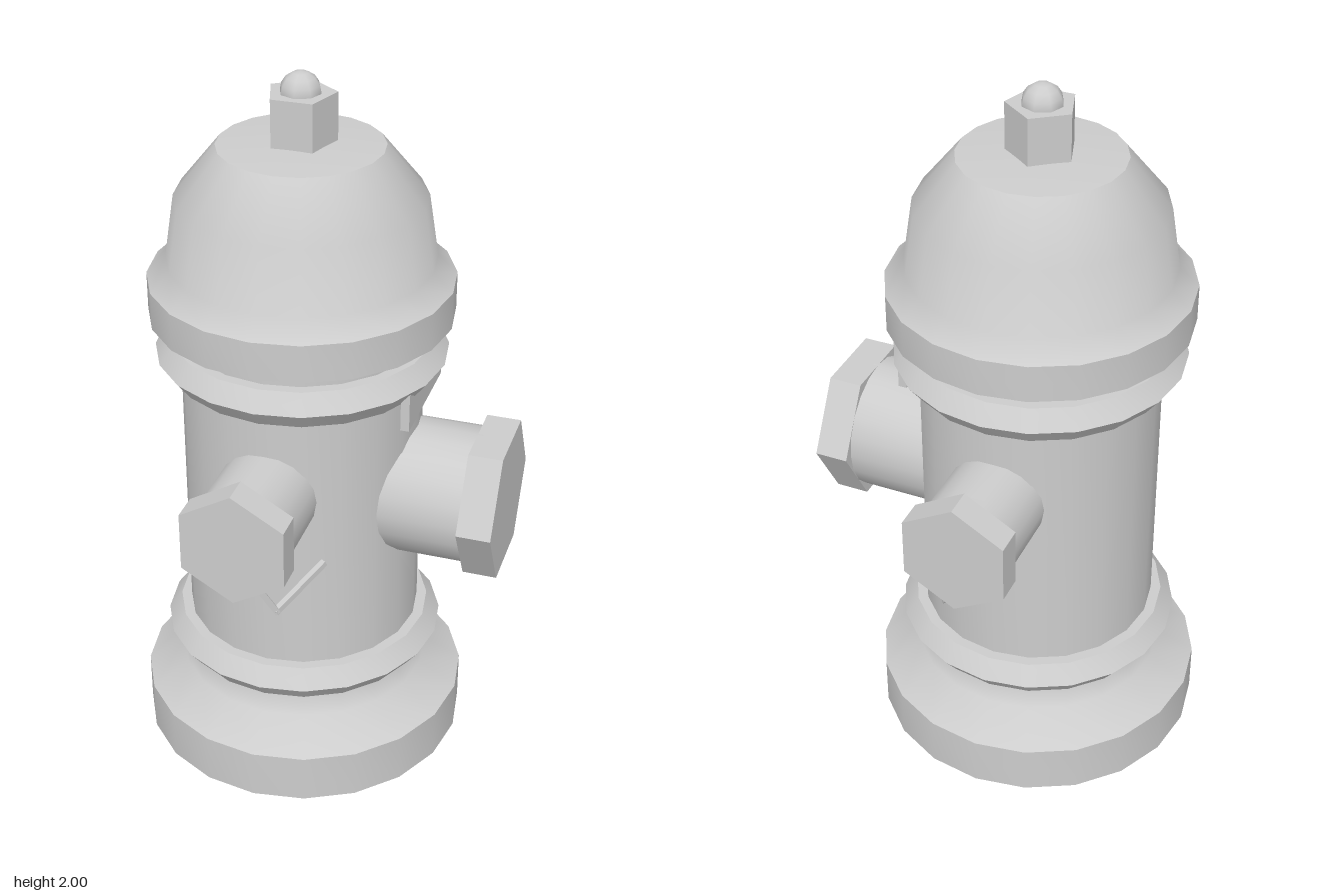
import * as THREE from 'three';
import { toCreasedNormals } from 'three/addons/utils/BufferGeometryUtils.js';

const AXIS = -0.065; // x of the barrel's centre line
const SIDES = 20;

export function createModel() {
  const model = new THREE.Group();
  model.name = 'fireHydrant';
  const grey = new THREE.MeshStandardMaterial({ color: 0xcccccc });
  grey.name = 'castGrey';

  function add(name, geometry, x = AXIS, y = 0, z = 0, parent = model) {
    const mesh = new THREE.Mesh(geometry, grey);
    mesh.name = name;
    mesh.position.set(x, y, z);
    parent.add(mesh);
    return mesh;
  }

  // Turned part with smooth sides and sharp rims
  function turned(name, profile) {
    const points = profile.map(([r, y]) => new THREE.Vector2(r, y));
    add(name, toCreasedNormals(new THREE.LatheGeometry(points, SIDES), 0.75));
  }

  // Faceted prism standing on the y axis
  const prism = (radius, height, sides) =>
    toCreasedNormals(new THREE.CylinderGeometry(radius, radius, height, sides), 0.75);

  // Square rod between two points
  function rod(name, a, b, width, parent) {
    const dir = b.clone().sub(a);
    const mid = a.clone().add(b).multiplyScalar(0.5);
    const mesh = add(name, new THREE.BoxGeometry(width, width, dir.length() + width * 0.6), mid.x, mid.y, mid.z, parent);
    mesh.lookAt(b);
  }

  // Base, barrel and bonnet
  turned('base', [[0, 0], [0.468, 0], [0.468, 0.145], [0.36, 0.215], [0.333, 0.27], [0.333, 0.3]]);
  turned('barrel', [[0.333, 0.25], [0.333, 1.34]]);
  turned('bonnet', [[0.3, 1.335], [0.415, 1.335], [0.415, 1.44], [0.362, 1.49],
    [0.335, 1.665], [0.222, 1.805], [0, 1.822]]);

  // Bevelled rings round the barrel
  for (const [name, y] of [['lowerRing', 0.335], ['upperRing', 1.225]]) {
    turned(name, [[0.33, y - 0.05], [0.362, y - 0.05], [0.4, y], [0.362, y + 0.052], [0.33, y + 0.052]]);
  }

  // Five-sided operating nut with a ball on top
  add('topNut', prism(0.095, 0.145, 5).rotateY(Math.PI), AXIS, 1.8725);
  add('topBall', new THREE.SphereGeometry(0.056, 8, 8), AXIS, 1.944);

  // Large side outlet
  add('sideOutlet', prism(0.191, 0.3, SIDES).rotateZ(Math.PI / 2), 0.3, 0.835);
  add('sideOutletCap', prism(0.22, 0.095, 6).rotateZ(Math.PI / 2), 0.4825, 0.835);
  add('sidePlate', new THREE.BoxGeometry(0.024, 0.11, 0.33), 0.273, 1.157);

  // Small front and back outlets, each with a bent hook
  for (const [name, s] of [['front', 1], ['back', -1]]) {
    const outlet = new THREE.Group();
    outlet.name = name + 'Outlet';
    model.add(outlet);
    add(name + 'Pipe', prism(0.137, 0.26, SIDES).rotateX(Math.PI / 2), AXIS, 0.92, s * 0.38, outlet);
    add(name + 'Cap', prism(0.163, 0.08, 6).rotateX(Math.PI / 2), AXIS, 0.92, s * 0.54, outlet);
    const top = new THREE.Vector3(-0.035, 0.785, s * 0.512);
    const bend = new THREE.Vector3(0.015, 0.67, s * 0.47);
    const tip = new THREE.Vector3(0.103, 0.755, s * 0.338);
    rod(name + 'HookStem', top, bend, 0.016, outlet);
    rod(name + 'HookArm', bend, tip, 0.016, outlet);
  }

  return model;
}
